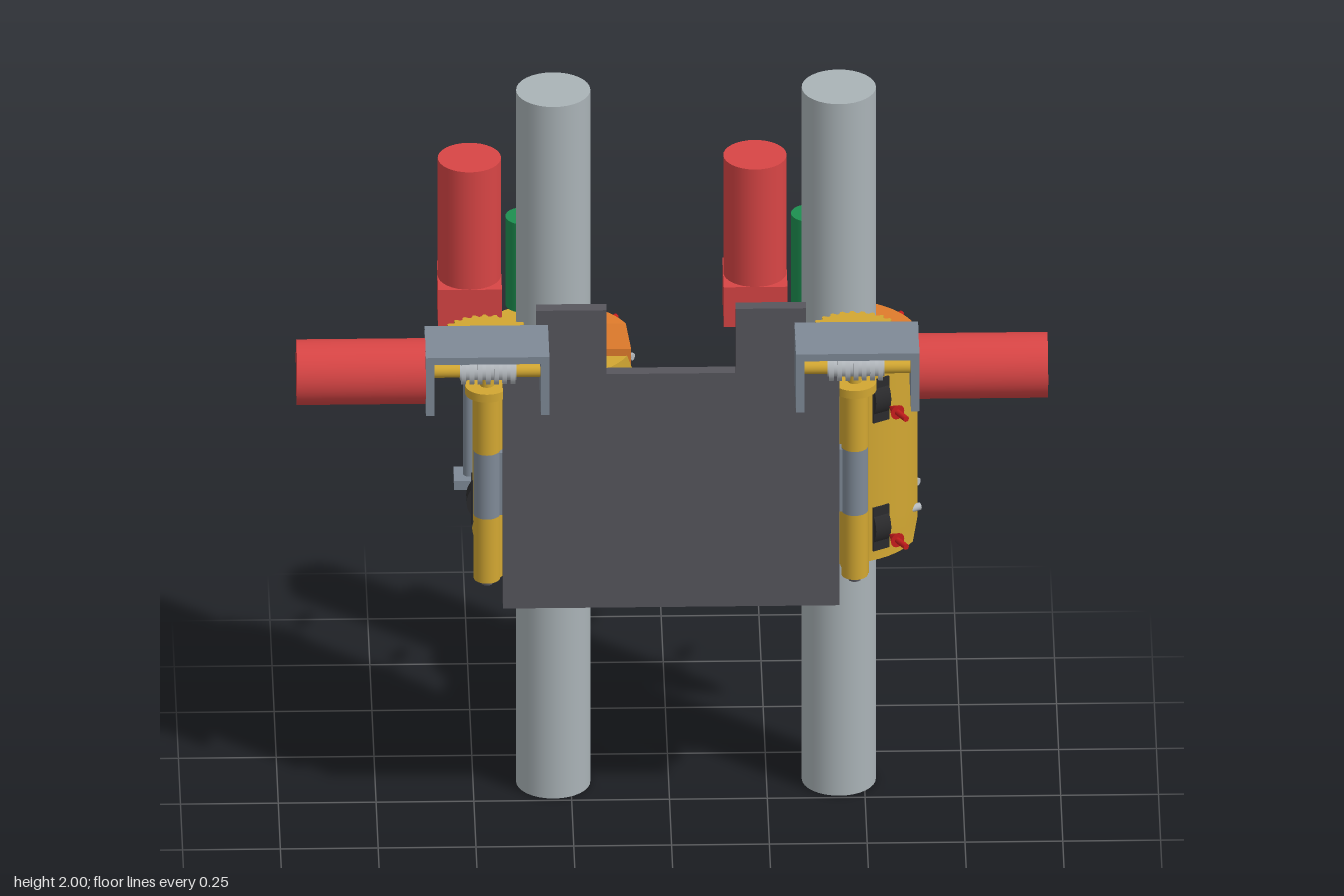
import * as THREE from 'three';
import { toCreasedNormals } from 'three/addons/utils/BufferGeometryUtils.js';

const paint = (name, color) => Object.assign(new THREE.MeshStandardMaterial({ color }), { name });

export function createModel() {
  const M = {
    pipe: paint('pipe grey', 0xaab3b7),
    plate: paint('charcoal', 0x57565d),
    steel: paint('blue grey steel', 0x7f8a97),
    silver: paint('silver', 0xb4b9be),
    yellow: paint('ochre yellow', 0xd2a732),
    orange: paint('orange', 0xe07c2c),
    red: paint('motor red', 0xd84545),
    arrow: paint('deep red', 0xc41c1c),
    green: paint('green', 0x1d8f50),
    black: paint('rubber black', 0x2b2b2d),
  };
  const model = new THREE.Group();
  model.name = 'pipeClampCarriage';

  const put = (parent, name, geo, mat, x = 0, y = 0, z = 0) => {
    const m = new THREE.Mesh(geo, mat);
    m.name = name;
    m.position.set(x, y, z);
    parent.add(m);
    return m;
  };
  const box = (p, name, mat, w, h, d, x, y, z) => put(p, name, new THREE.BoxGeometry(w, h, d), mat, x, y, z);
  // Cylinder along 'x', 'y' or 'z'
  const rod = (p, name, mat, r, len, x, y, z, axis = 'y', sides = 32) => {
    const g = new THREE.CylinderGeometry(r, r, len, sides);
    if (axis === 'x') g.rotateZ(Math.PI / 2);
    if (axis === 'z') g.rotateX(Math.PI / 2);
    return put(p, name, g, mat, x, y, z);
  };
  // Upright cylinder between two heights
  const post = (p, name, mat, r, y0, y1, x, z) => rod(p, name, mat, r, y1 - y0, x, (y0 + y1) / 2, z);

  const Y0 = 0.73, Y1 = 1.275, YM = (Y0 + Y1) / 2, H = Y1 - Y0;
  const R_IN = 0.125, R_OUT = 0.207, PIVOT = THREE.MathUtils.degToRad(109);
  const ROLLER_Y = [0.82, 1.19];

  // Curved jaw: a box bent round the pipe, its free end cut flat and chamfered
  const jawGeometry = (front) => {
    const g = new THREE.BoxGeometry(1, 1, 1, 32, 10, 1), p = g.attributes.position;
    for (let i = 0; i < p.count; i++) {
      const u = p.getX(i) + 0.5, v = p.getY(i);
      const r = p.getZ(i) > 0 ? R_OUT : R_IN;
      const free = Math.asin((Math.abs(v) > 0.49 ? 0.088 : 0.052) / r);
      const a = front
        ? THREE.MathUtils.lerp(2 * Math.PI - PIVOT, free, u)
        : THREE.MathUtils.lerp(-free, -PIVOT, u);
      p.setXYZ(i, r * Math.cos(a), YM + v * H, r * Math.sin(a));
    }
    g.computeVertexNormals();
    return toCreasedNormals(g, 0.5);
  };

  // Worm wheel outline with square teeth
  const wheelGeometry = () => {
    const s = new THREE.Shape(), teeth = 28;
    for (let i = 0; i < teeth * 4; i++) {
      const a = (i / (teeth * 4)) * Math.PI * 2, r = i % 4 < 2 ? 0.123 : 0.113;
      s[i ? 'lineTo' : 'moveTo'](r * Math.cos(a), r * Math.sin(a));
    }
    return new THREE.ExtrudeGeometry(s, { depth: 0.04, bevelEnabled: false }).rotateX(-Math.PI / 2);
  };

  // Clamp group, centred on its pipe
  const addClamp = (cx, hingeX) => {
    const c = new THREE.Group();
    c.name = 'clamp';
    c.position.set(cx, 0, -0.105);
    model.add(c);
    post(c, 'pipe', M.pipe, 0.095, 0, 2, 0, 0);
    put(c, 'frontJaw', jawGeometry(true), M.yellow);
    put(c, 'rearJaw', jawGeometry(false), M.orange);

    // Rollers, axles and force arrows
    for (const deg of [60, 180, 300]) for (const y of ROLLER_Y) {
      const s = new THREE.Group();
      s.name = 'rollerStation';
      s.rotation.y = -THREE.MathUtils.degToRad(deg);
      s.position.y = y;
      c.add(s);
      rod(s, 'roller', M.black, 0.062, 0.045, 0.16, 0, 0, 'z');
      box(s, 'rollerSlot', M.black, 0.008, 0.125, 0.047, R_OUT - 0.001, 0, 0);
      rod(s, 'axle', M.silver, 0.01, 0.29, 0.16, 0, 0, 'z', 12);
      if (deg === 180) continue;
      rod(s, 'arrowShaft', M.arrow, 0.008, 0.05, 0.308, 0, 0, 'x', 10);
      put(s, 'arrowHead', new THREE.ConeGeometry(0.02, 0.04, 14).rotateZ(Math.PI / 2), M.arrow, 0.27, 0, 0);
    }

    // Jaw hinge with its green drive
    const hx = -0.07, hz = -0.2;
    post(c, 'jawKnuckle', M.orange, 0.03, Y0, 0.915, hx, hz);
    post(c, 'jawKnuckleMiddle', M.yellow, 0.03, 0.915, 1.095, hx, hz);
    post(c, 'jawKnuckle', M.orange, 0.03, 1.095, Y1, hx, hz);
    post(c, 'hingeDrive', M.green, 0.048, Y1, 1.53, hx, hz);
    for (const y of [0.82, 1.14]) {
      rod(c, 'rearLug', M.orange, 0.034, 0.05, -0.135, y, hz, 'z');
      rod(c, 'lugPin', M.silver, 0.01, 0.09, -0.165, y, hz, 'x', 12);
    }

    // Upright motor and lead screw
    const mx = -0.21;
    post(c, 'screwMotor', M.red, 0.081, 1.36, 1.7, mx, hz);
    box(c, 'screwGearbox', M.red, 0.163, 0.115, 0.163, mx, 1.303, hz);
    post(c, 'leadScrew', M.steel, 0.016, 0.77, 1.25, mx, hz);
    box(c, 'screwFoot', M.steel, 0.08, 0.025, 0.08, mx, 0.773, hz);
    box(c, 'sideStrip', M.steel, 0.018, 0.2, 0.08, -0.155, YM, 0.17);

    // Web joining the front jaw to the carriage hinge
    const dx = hingeX - cx, dz = 0.262, len = Math.hypot(dx, dz), mid = (len + 0.155) / 2;
    const web = box(c, 'hingeWeb', M.yellow, 0.065, H, len - 0.155, dx / len * mid, YM, dz / len * mid);
    web.rotation.y = Math.atan2(dx, dz);
  };
  addClamp(-0.295, -0.475);
  addClamp(0.435, 0.475);

  // Carriage plate with two ears
  const s = new THREE.Shape();
  [[-0.43, 0.665], [0.43, 0.665], [0.43, 1.34], [0.345, 1.34], [0.345, 1.525], [0.165, 1.525],
    [0.165, 1.34], [-0.165, 1.34], [-0.165, 1.525], [-0.345, 1.525], [-0.345, 1.34], [-0.43, 1.34]]
    .forEach(([x, y], i) => s[i ? 'lineTo' : 'moveTo'](x, y));
  put(model, 'carriagePlate', new THREE.ExtrudeGeometry(s, { depth: 0.035, bevelEnabled: false }), M.plate, 0, 0, 0.17);

  // Mirrored hinges and worm drives
  for (const side of [-1, 1]) {
    const d = new THREE.Group();
    d.name = side < 0 ? 'rightDrive' : 'leftDrive';
    model.add(d);
    const hx = side * 0.47, hz = 0.157;
    post(d, 'lowerKnuckle', M.yellow, 0.034, Y0, 0.915, hx, hz);
    post(d, 'fixedKnuckle', M.steel, 0.034, 0.915, 1.1, hx, hz);
    post(d, 'upperKnuckle', M.yellow, 0.034, 1.1, Y1, hx, hz);
    box(d, 'knuckleMount', M.steel, 0.14, 0.18, 0.03, side * 0.39, 1.007, 0.155);
    post(d, 'hingePin', M.plate, 0.016, 0.715, Y0, hx, hz);
    post(d, 'flange', M.yellow, 0.056, 1.265, 1.288, hx, hz);
    post(d, 'wheelShaft', M.yellow, 0.018, 1.28, 1.39, hx, hz);
    put(d, 'wormWheel', wheelGeometry(), M.yellow, hx, 1.385, hz);

    // Bracket, worm and horizontal motor
    const wz = 0.3, wy = 1.405;
    box(d, 'bracketTop', M.steel, 0.315, 0.02, 0.175, side * 0.473, 1.478, wz);
    for (const x of [0.326, 0.62]) box(d, 'bracketEnd', M.steel, 0.022, 0.165, 0.175, side * x, 1.403, wz);
    rod(d, 'wormShaft', M.yellow, 0.018, 0.28, side * 0.473, wy, wz, 'x');
    rod(d, 'wormCore', M.silver, 0.025, 0.145, side * 0.47, wy, wz, 'x');
    for (let i = 0; i < 7; i++) rod(d, 'wormThread', M.silver, 0.036, 0.012, side * (0.407 + i * 0.021), wy, wz, 'x', 24);
    rod(d, 'driveMotor', M.red, 0.084, 0.33, side * 0.795, wy, wz, 'x', 40);
  }
  return model;
}
